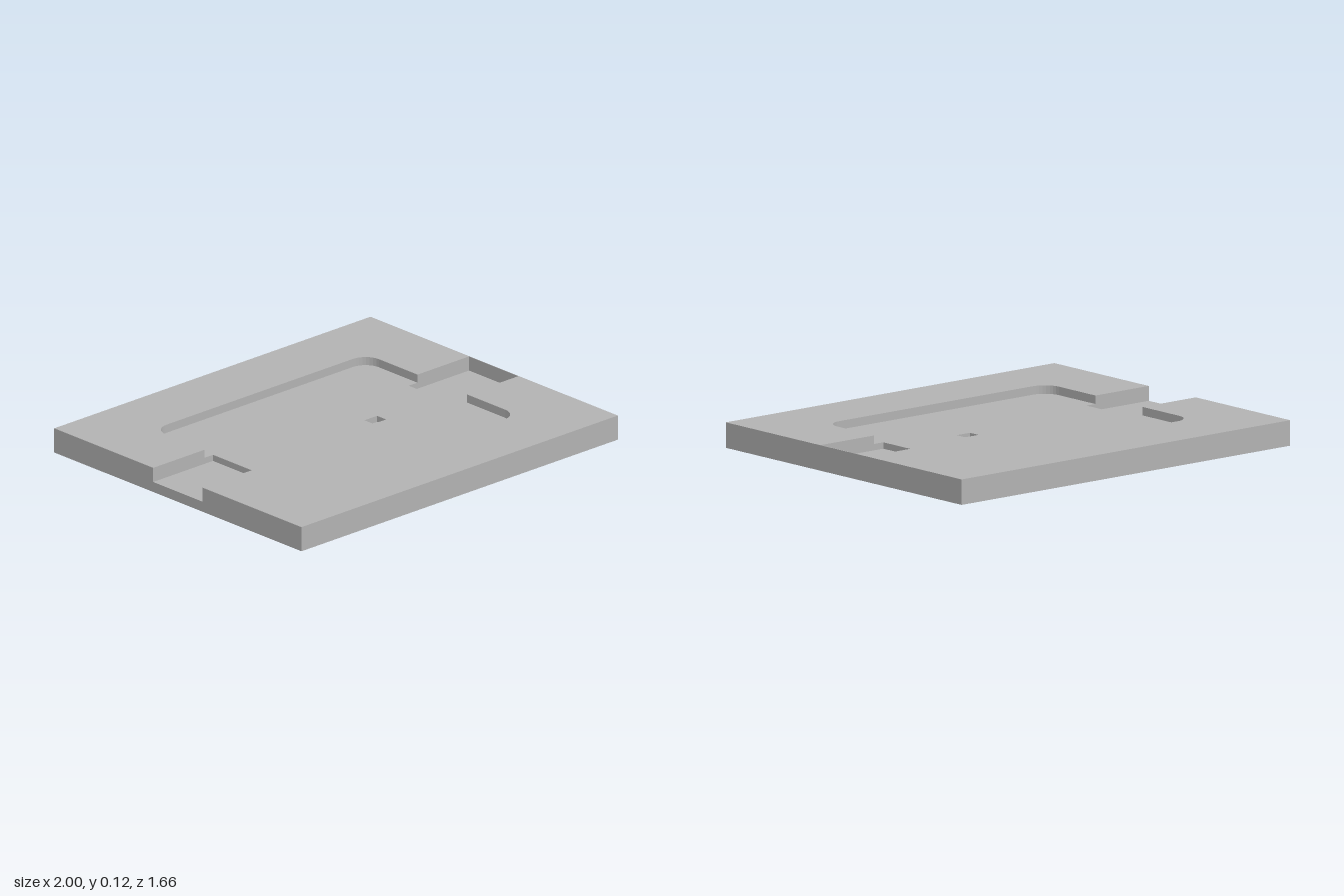
import * as THREE from 'three';
import { mergeGeometries } from 'three/addons/utils/BufferGeometryUtils.js';

// Heights of the plate, pocket floor and slot floor
const TOP = 0.12, POCKET = 0.08, SLOT = 0.05;
// Plan sizes: half depth, half slot width, pocket limits, slot inner ends, thin end wall
const D = 0.832, S = 0.166, PL = -0.676, PR = 0.671, PZ = 0.51, R = 0.085;
const SL = -0.622, SR = 0.616, W = 0.997;

const v = (x, p) => new THREE.Vector2(x, p); // plan point, p = -z

// Flat face at height y
function face(points, y, holes = [], down = false) {
  const shape = new THREE.Shape(points);
  shape.holes = holes.map((h) => new THREE.Path(h));
  const g = new THREE.ShapeGeometry(shape);
  g.rotateX(down ? Math.PI / 2 : -Math.PI / 2);
  return g.translate(0, y, 0);
}

// Vertical walls along an open path, solid lying on the left of the path
function wall(points, y0, y1) {
  const quads = [];
  for (let i = 0; i < points.length - 1; i++) {
    const a = points[i], b = points[i + 1];
    const q = new THREE.PlaneGeometry(a.distanceTo(b), y1 - y0);
    q.rotateY(Math.atan2(b.y - a.y, b.x - a.x));
    q.translate((a.x + b.x) / 2, (y0 + y1) / 2, -(a.y + b.y) / 2);
    quads.push(q);
  }
  return mergeGeometries(quads);
}

// Rounded corner of the pocket
function corner(cx, cp, from, to, n = 8) {
  return Array.from({ length: n + 1 }, (_, i) => {
    const t = from + (to - from) * i / n;
    return v(cx + R * Math.cos(t), cp + R * Math.sin(t));
  });
}

export function createModel() {
  const model = new THREE.Group();
  model.name = 'recessedPlate';
  const grey = new THREE.MeshStandardMaterial({ color: 0xb2b2b2 });
  grey.name = 'plain grey';
  const add = (name, ...parts) => {
    const mesh = new THREE.Mesh(mergeGeometries(parts), grey);
    mesh.name = name;
    model.add(mesh);
  };

  // Shared outlines
  const outer = [v(-1, -S), v(-1, -D), v(1, -D), v(1, D), v(-1, D), v(-1, S)];
  const backEdge = [v(PL, S),
    ...corner(PL + R, PZ - R, Math.PI, Math.PI / 2),
    ...corner(PR - R, PZ - R, Math.PI / 2, 0), v(PR, S)];
  const frontEdge = backEdge.map((p) => v(p.x, -p.y)).reverse();
  const rightSlot = [v(PR, S), v(W, S), v(W, -S), v(PR, -S)];
  const hole = [v(0.177, -0.064), v(0.177, -0.003), v(0.257, -0.003), v(0.257, -0.064)];

  // Outer body: rim, sides and underside
  add('plateBody',
    face([...outer, ...backEdge, ...rightSlot.slice(1, 3), ...frontEdge], TOP),
    face([v(-1, -D), v(1, -D), v(1, D), v(-1, D)], 0, [], true),
    wall(outer, 0, TOP),
    wall([v(-1, S), v(-1, -S)], 0, SLOT));

  // Shallow rounded pocket
  add('pocket',
    face([...backEdge, v(SR, S), v(SR, -S), ...frontEdge, v(SL, -S), v(SL, S)], POCKET, [hole]),
    wall(backEdge, POCKET, TOP),
    wall(frontEdge, POCKET, TOP));

  // Slot open at the right-hand end (-x)
  add('openSlot',
    face([v(-1, -S), v(SL, -S), v(SL, S), v(-1, S)], SLOT),
    wall([v(-1, S), v(PL, S)], SLOT, TOP),
    wall([v(PL, -S), v(-1, -S)], SLOT, TOP),
    wall([v(PL, S), v(SL, S), v(SL, -S), v(PL, -S)], SLOT, POCKET));

  // Slot closed by a thin end wall (+x)
  add('closedSlot',
    face([v(SR, -S), v(W, -S), v(W, S), v(SR, S)], SLOT),
    wall(rightSlot, SLOT, TOP),
    wall([v(PR, -S), v(SR, -S), v(SR, S), v(PR, S)], SLOT, POCKET));

  // Small rectangular recess in the pocket floor
  add('smallRecess',
    face(hole, SLOT),
    wall([...hole, hole[0]], SLOT, POCKET));

  return model;
}
